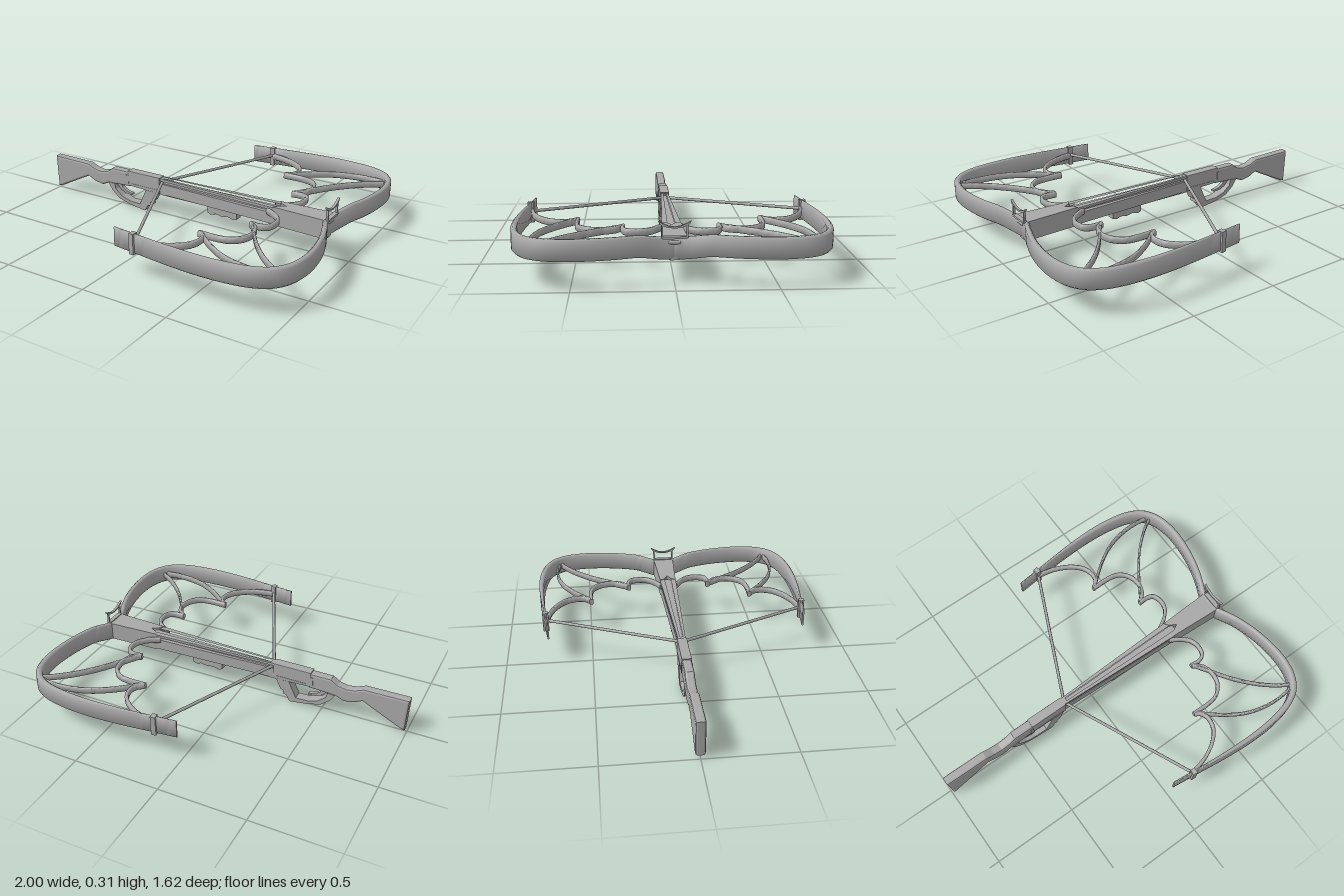
import * as THREE from 'three';
import { toCreasedNormals } from 'three/addons/utils/BufferGeometryUtils.js';

const V2 = (p) => new THREE.Vector2(p[0], p[1]);

export function createModel() {
  const root = new THREE.Group();
  root.name = 'crossbow';
  const grey = new THREE.MeshStandardMaterial({ color: 0xa8a8a8 });
  grey.name = 'plainGrey';

  const add = (name, geo, parent = root) => {
    const m = new THREE.Mesh(geo, grey);
    m.name = name;
    parent.add(m);
    return m;
  };
  const box = (name, x0, x1, y0, y1, w, z = 0, parent = root) => {
    const m = add(name, new THREE.BoxGeometry(x1 - x0, y1 - y0, w), parent);
    m.position.set((x0 + x1) / 2, (y0 + y1) / 2, z);
    return m;
  };
  // side outline (x, y) given thickness across z
  const side = (name, pts, halfWidth, bevel = 0, parent = root) => {
    const depth = 2 * (halfWidth - bevel);
    const geo = new THREE.ExtrudeGeometry(new THREE.Shape(pts.map(V2)), {
      depth, bevelEnabled: bevel > 0, bevelSize: bevel, bevelThickness: bevel, bevelOffset: -bevel, bevelSegments: 2,
    });
    geo.translate(0, 0, -depth / 2);
    return add(name, geo, parent);
  };
  // plan outline (x, z) mirrored across z = 0, given height along y
  const mirrored = (half) => [...half, ...half.slice().reverse().filter((p) => p[1] > 0).map(([x, z]) => [x, -z])];
  const plan = (name, half, y0, y1, hole) => {
    const shape = new THREE.Shape(mirrored(half).map(V2));
    if (hole) shape.holes.push(new THREE.Path(mirrored(hole).map(V2)));
    const geo = new THREE.ExtrudeGeometry(shape, { depth: y1 - y0, bevelEnabled: false });
    geo.rotateX(Math.PI / 2);
    geo.translate(0, y1, 0);
    return add(name, geo);
  };
  // upright band swept along a plan curve; size(t) gives half thickness, bottom and top
  const band = (pts, steps, size) => {
    const curve = new THREE.CatmullRomCurve3(pts.map(([x, z]) => new THREE.Vector3(x, 0, z)), false, 'centripetal');
    const pos = [], idx = [], n = 8;
    for (let i = 0; i <= steps; i++) {
      const t = i / steps, p = curve.getPointAt(t), d = curve.getTangentAt(t);
      const [h, y0, y1] = size(t, p);
      const b = Math.min(h * 0.6, (y1 - y0) * 0.25);
      const ring = [[-h, y0 + b], [-h + b, y0], [h - b, y0], [h, y0 + b], [h, y1 - b], [h - b, y1], [-h + b, y1], [-h, y1 - b]];
      for (const [s, y] of ring) pos.push(p.x - d.z * s, y, p.z + d.x * s);
    }
    for (let i = 0; i < steps; i++) for (let j = 0; j < n; j++) {
      const a = i * n + j, b = i * n + (j + 1) % n;
      idx.push(a, b + n, b, a, a + n, b + n);
    }
    const e = steps * n;
    for (let j = 1; j < n - 1; j++) idx.push(0, j, j + 1, e, e + j + 1, e + j);
    const geo = new THREE.BufferGeometry();
    geo.setAttribute('position', new THREE.Float32BufferAttribute(pos, 3));
    geo.setIndex(idx);
    return toCreasedNormals(geo, 0.9);
  };
  const rod = (name, a, b, r, parent) => {
    const path = new THREE.LineCurve3(new THREE.Vector3(...a), new THREE.Vector3(...b));
    return add(name, new THREE.TubeGeometry(path, 1, r, 8), parent);
  };

  // shoulder stock with grip
  side('stock', [[-1, 0.22], [-0.99, 0.015], [-0.96, 0.025], [-0.74, 0.135], [-0.69, 0.11], [-0.63, 0.1], [-0.58, 0.122],
    [-0.42, 0.13], [-0.42, 0.225], [-0.55, 0.225], [-0.59, 0.197], [-0.64, 0.187], [-0.69, 0.195], [-0.74, 0.217]], 0.027, 0.012);

  // receiver with side plates
  side('receiver', [[-0.43, 0.138], [-0.2, 0.13], [-0.2, 0.232], [-0.43, 0.232]], 0.028, 0.004);
  box('receiverPlate', -0.445, -0.425, 0.15, 0.205, 0.062);
  box('receiverRidge', -0.4, -0.22, 0.145, 0.155, 0.06);

  // trigger and guard
  side('triggerGuard', [[-0.58, 0.125], [-0.55, 0.08], [-0.5, 0.04], [-0.43, 0.018], [-0.31, 0.0], [-0.3, 0.012], [-0.285, 0.04],
    [-0.265, 0.042], [-0.268, 0.065], [-0.25, 0.07], [-0.22, 0.135], [-0.3, 0.135], [-0.345, 0.035], [-0.42, 0.038],
    [-0.48, 0.058], [-0.525, 0.095], [-0.535, 0.13]], 0.028);
  side('trigger', [[-0.53, 0.13], [-0.5, 0.095], [-0.46, 0.075], [-0.415, 0.072], [-0.415, 0.082], [-0.455, 0.09], [-0.485, 0.11], [-0.495, 0.13]], 0.012);

  // tapered tiller: lower beam, slotted core, top rails around the bolt channel
  plan('lowerBeam', [[-0.21, 0.02], [0.87, 0.058], [0.87, 0]], 0.13, 0.195);
  plan('slotCore', [[-0.21, 0.009], [0.6, 0.022], [0.6, 0]], 0.19, 0.216);
  plan('topRails', [[-0.21, 0.021], [0.56, 0.05], [0.63, 0.05], [0.63, 0]], 0.213, 0.228,
    [[-0.18, 0.009], [0.58, 0.02], [0.62, 0]]);
  plan('noseBlock', [[0.62, 0], [0.58, 0.021], [0.56, 0.049], [0.85, 0.062], [0.885, 0.066], [0.865, 0.02], [0.86, 0]], 0.125, 0.232);
  plan('noseUnderplate', [[0.6, 0.035], [0.85, 0.04], [0.88, 0.02], [0.88, 0]], 0.117, 0.13);
  side('foregrip', [[0.13, 0.135], [0.13, 0.09], [0.15, 0.08], [0.19, 0.09], [0.23, 0.083], [0.27, 0.09], [0.3, 0.08],
    [0.325, 0.088], [0.325, 0.135]], 0.024, 0.004);
  box('underRail', -0.2, 0.6, 0.122, 0.132, 0.03);

  // bolt guide at the nose
  const guide = add('boltGuide', new THREE.CapsuleGeometry(0.01, 0.045, 4, 10));
  guide.rotation.x = Math.PI / 2;
  guide.position.set(0.878, 0.206, 0);

  // two bow limbs with wing shaped tracery
  const limbLine = [[0.865, 0], [0.877, 0.06], [0.92, 0.17], [0.96, 0.3], [0.981, 0.44], [0.98, 0.55], [0.955, 0.65], [0.905, 0.72],
    [0.82, 0.765], [0.7, 0.789], [0.56, 0.797], [0.38, 0.789], [0.15, 0.765], [0.02, 0.75]];
  const tracery = {
    outerScallop: [[0.15, 0.757], [0.25, 0.735], [0.34, 0.69], [0.4, 0.63], [0.418, 0.56], [0.4, 0.515], [0.37, 0.495]],
    middleScallop: [[0.365, 0.49], [0.47, 0.492], [0.54, 0.478], [0.59, 0.43], [0.607, 0.36], [0.585, 0.29], [0.54, 0.255]],
    innerScallop: [[0.535, 0.248], [0.59, 0.252], [0.63, 0.235], [0.646, 0.185], [0.635, 0.13], [0.595, 0.085], [0.53, 0.045]],
    upperRib: [[0.94, 0.687], [0.84, 0.703], [0.725, 0.695], [0.62, 0.665], [0.53, 0.615], [0.45, 0.555], [0.385, 0.495]],
    lowerRib: [[0.94, 0.682], [0.87, 0.64], [0.78, 0.565], [0.69, 0.465], [0.6, 0.335], [0.545, 0.25]],
  };
  const smooth = THREE.MathUtils.smoothstep;
  for (const s of [1, -1]) {
    const wing = new THREE.Group();
    wing.name = s > 0 ? 'leftWing' : 'rightWing';
    root.add(wing);
    const flip = (pts) => pts.map(([x, z]) => [x, z * s]);
    add('bowLimb', band(flip(limbLine), 72, (t, p) => {
      const lift = smooth(Math.abs(p.z), 0.03, 0.2);
      const half = t < 0.4 ? 0.014 + 0.004 * smooth(t, 0.1, 0.4) : 0.018 - 0.013 * smooth(t, 0.5, 1);
      return [half, 0.12 + 0.026 * lift, 0.232 + 0.022 * lift];
    }), wing);
    for (const [name, pts] of Object.entries(tracery)) {
      const half = name.endsWith('Rib') ? 0.007 : 0.01;
      add(name, band(flip(pts), 28, () => [half, 0.18, 0.218]), wing);
    }
    // clamp that holds the string to the limb
    const clamp = box('stringClamp', 0.132, 0.16, 0.14, 0.256, 0.034, 0.765 * s, wing);
    clamp.rotation.y = -0.11 * s;
    rod('bowString', [0.147, 0.204, 0.757 * s], [-0.195, 0.204, 0], 0.009, wing);
  }

  // horned front sight: base, posts and a crescent between the horn tips
  const sight = new THREE.Group();
  sight.name = 'frontSight';
  root.add(sight);
  box('sightBase', 0.872, 0.897, 0.226, 0.238, 0.12, 0, sight);
  for (const s of [1, -1]) box('sightPost', 0.88, 0.892, 0.23, 0.298, 0.009, 0.06 * s, sight);
  const upper = [[0.08, 0.315], [0.062, 0.304], [0.03, 0.29], [0, 0.285]];
  const lower = [[0, 0.277], [0.03, 0.281], [0.06, 0.29], [0.074, 0.302]];
  const flipX = (pts) => pts.map(([x, y]) => [-x, y]);
  const crescent = side('sightHorns', [...upper, ...flipX(upper.slice(0, 3)).reverse(),
    ...flipX(lower.slice(1)).reverse(), ...lower], 0.007, 0, sight);
  crescent.rotation.y = Math.PI / 2;
  crescent.position.x = 0.886;

  return root;
}
